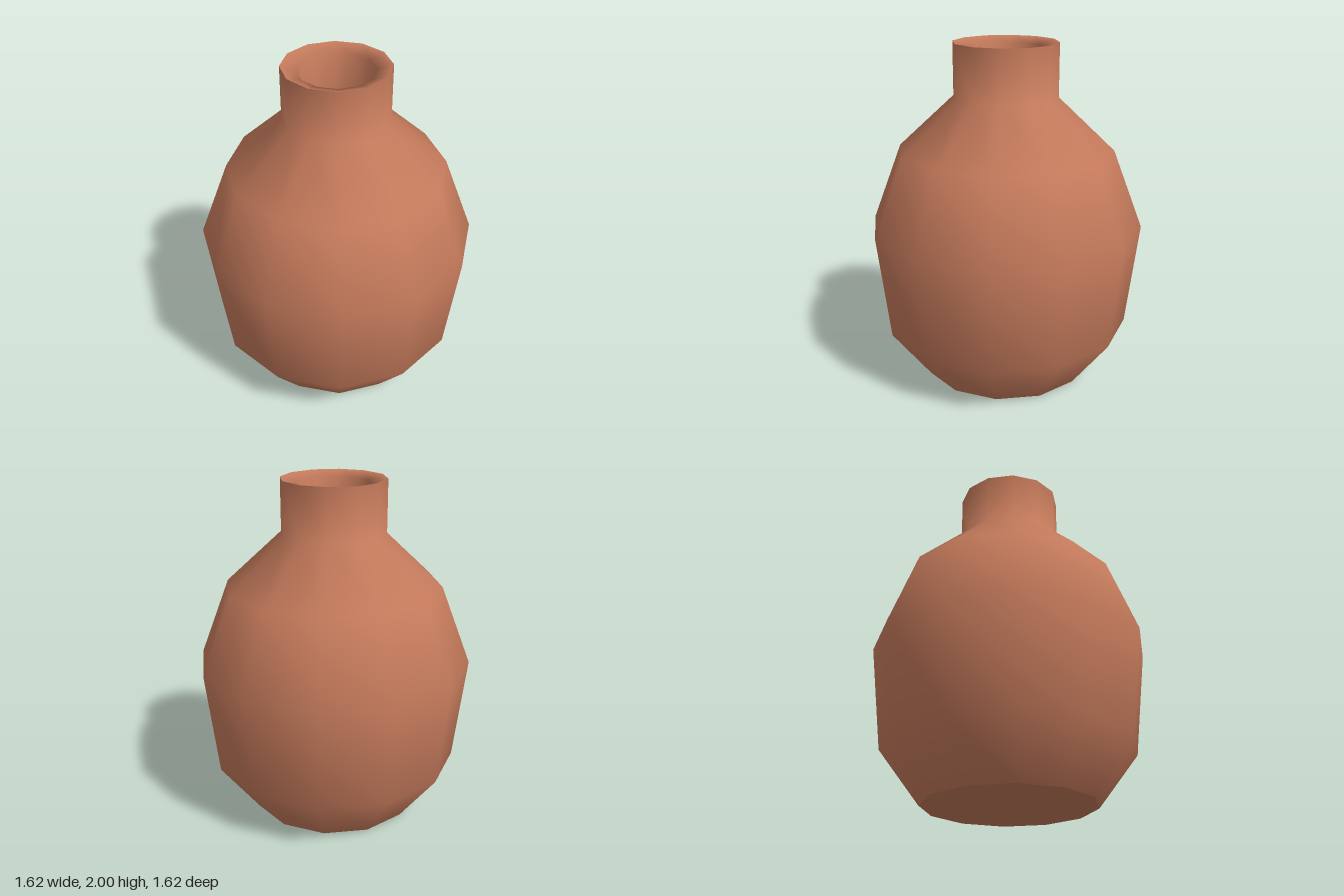
import * as THREE from 'three';

const SIDES = 12;

export function createModel() {
  const group = new THREE.Group();
  group.name = 'vase';
  const clay = new THREE.MeshStandardMaterial({ color: 0xc67b5c });
  clay.name = 'terracotta';

  const add = (name, geometry, y = 0) => {
    const mesh = new THREE.Mesh(geometry, clay);
    mesh.name = name;
    mesh.position.y = y;
    group.add(mesh);
  };
  const lathe = (points) =>
    new THREE.LatheGeometry(points.map(([r, y]) => new THREE.Vector2(r, y)), SIDES);
  // Flat disc whose corners line up with the lathe's
  const disc = (radius, tilt) => new THREE.CircleGeometry(radius, SIDES).rotateX(tilt);

  // Outer wall, from foot over the belly and shoulder up the neck
  add('body', lathe([
    [0.5, 0], [0.735, 0.31], [0.808, 0.925], [0.632, 1.385], [0.305, 1.69], [0.305, 2],
  ]));

  // Lip dipping slightly inward, then the inside of the neck
  add('rimAndThroat', lathe([[0.305, 2], [0.215, 1.97], [0.215, 1.69]]));

  // Flat floor inside the neck and the underside of the foot
  add('innerFloor', disc(0.215, -Math.PI / 2), 1.69);
  add('base', disc(0.5, Math.PI / 2));

  return group;
}
